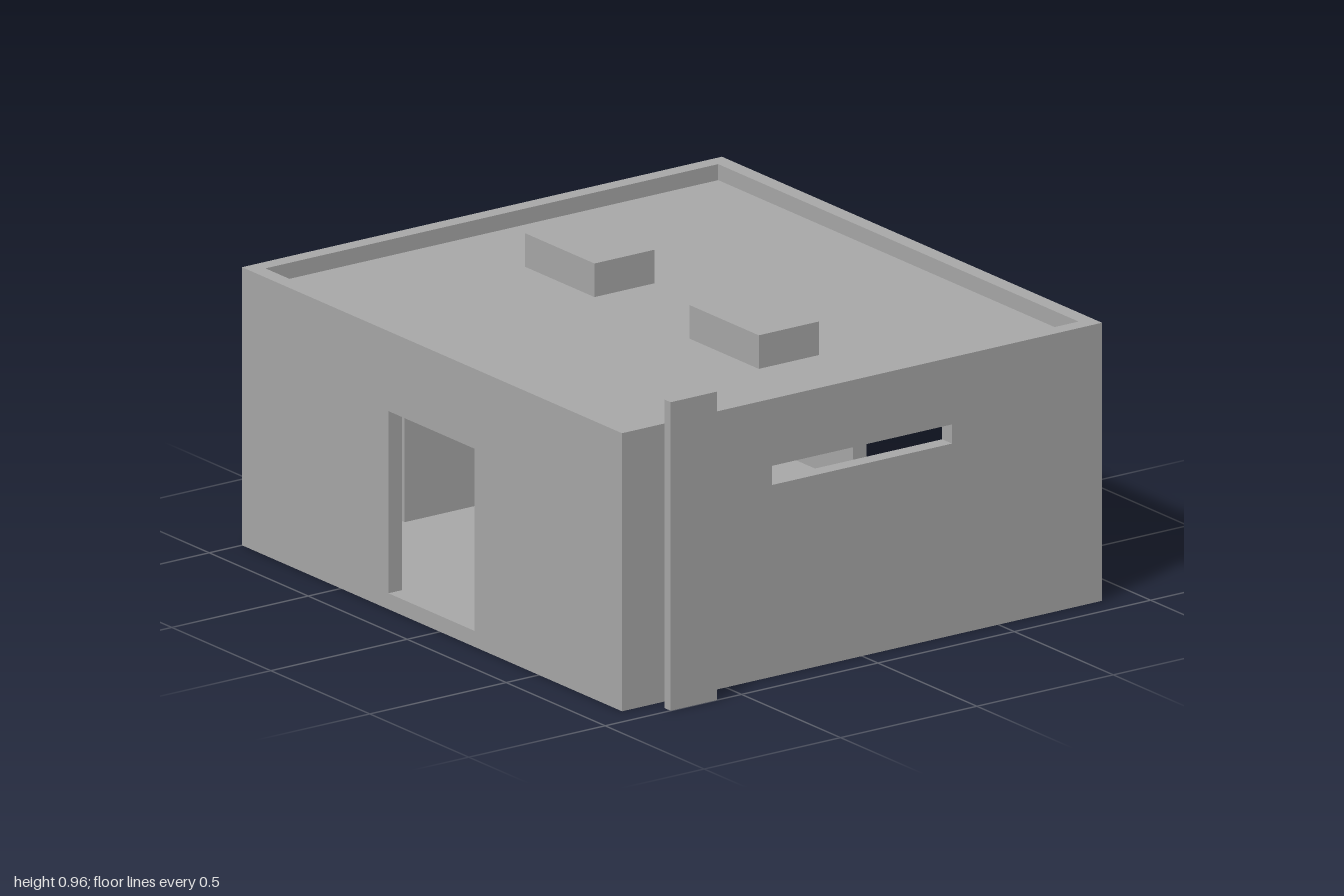
import * as THREE from 'three';

const X0 = -1, X1 = 0.92, Z = 0.88, H = 0.87, T = 0.05; // outer bounds and wall thickness
const CX = (X0 + X1) / 2;

export function createModel() {
  const group = new THREE.Group();
  const concrete = new THREE.MeshStandardMaterial({ color: 0xa8a8a8 });
  concrete.name = 'concrete grey';

  const add = (name, geometry) => {
    const mesh = new THREE.Mesh(geometry, concrete);
    mesh.name = name;
    group.add(mesh);
    return mesh;
  };

  // Box given by its minimum and maximum corners
  const box = (name, x0, x1, y0, y1, z0, z1) =>
    add(name, new THREE.BoxGeometry(x1 - x0, y1 - y0, z1 - z0)
      .translate((x0 + x1) / 2, (y0 + y1) / 2, (z0 + z1) / 2));

  const rect = (path, a0, a1, b0, b1) => {
    path.moveTo(a0, b0);
    path.lineTo(a1, b0);
    path.lineTo(a1, b1);
    path.lineTo(a0, b1);
    path.closePath();
    return path;
  };

  // Wall slab with rectangular openings, each [a0, a1, y0, y1]
  const wallGeometry = (a0, a1, openings) => {
    const shape = rect(new THREE.Shape(), a0, a1, 0, H);
    openings.forEach((o) => shape.holes.push(rect(new THREE.Path(), ...o)));
    return new THREE.ExtrudeGeometry(shape, { depth: T, bevelEnabled: false });
  };

  // Front wall with doorway, back wall with doorway and two windows
  add('frontWall', wallGeometry(X0, X1, [[-0.26, 0.175, 0.05, 0.62]]).translate(0, 0, Z - T));
  add('backWall', wallGeometry(X0, X1, [
    [-0.27, 0.19, 0.05, 0.62],
    [-0.68, -0.52, 0.25, 0.61],
    [0.44, 0.6, 0.25, 0.61],
  ]).translate(0, 0, -Z));

  // Side walls with a long slit window
  for (const [name, x] of [['leftWall', X1 - T], ['rightWall', X0]]) {
    add(name, wallGeometry(-Z + T, Z - T, [[-0.33, 0.33, 0.6, 0.66]])
      .rotateY(Math.PI / 2).translate(x, 0, 0));
  }

  // Floor and sunken roof inside the parapet
  box('floor', X0 + T, X1 - T, 0, 0.05, -Z + T, Z - T);
  box('roof', X0 + T, X1 - T, 0.77, 0.82, -Z + T, Z - T);

  // Roof units and the low benches along the side walls inside
  for (const s of [-1, 1]) {
    const unit = CX + s * 0.415;
    box('roofUnit', unit - 0.175, unit + 0.175, 0.82, 0.925, -0.11, 0.11);
    const bench = CX + s * 0.82;
    box('bench', bench - 0.09, bench + 0.09, 0.05, 0.42, -0.45, 0.45);
  }

  // Free-standing sign slab beside the building
  box('signSlab', 0.97, 1, 0, 0.965, 0.59, 0.76);

  return group;
}
